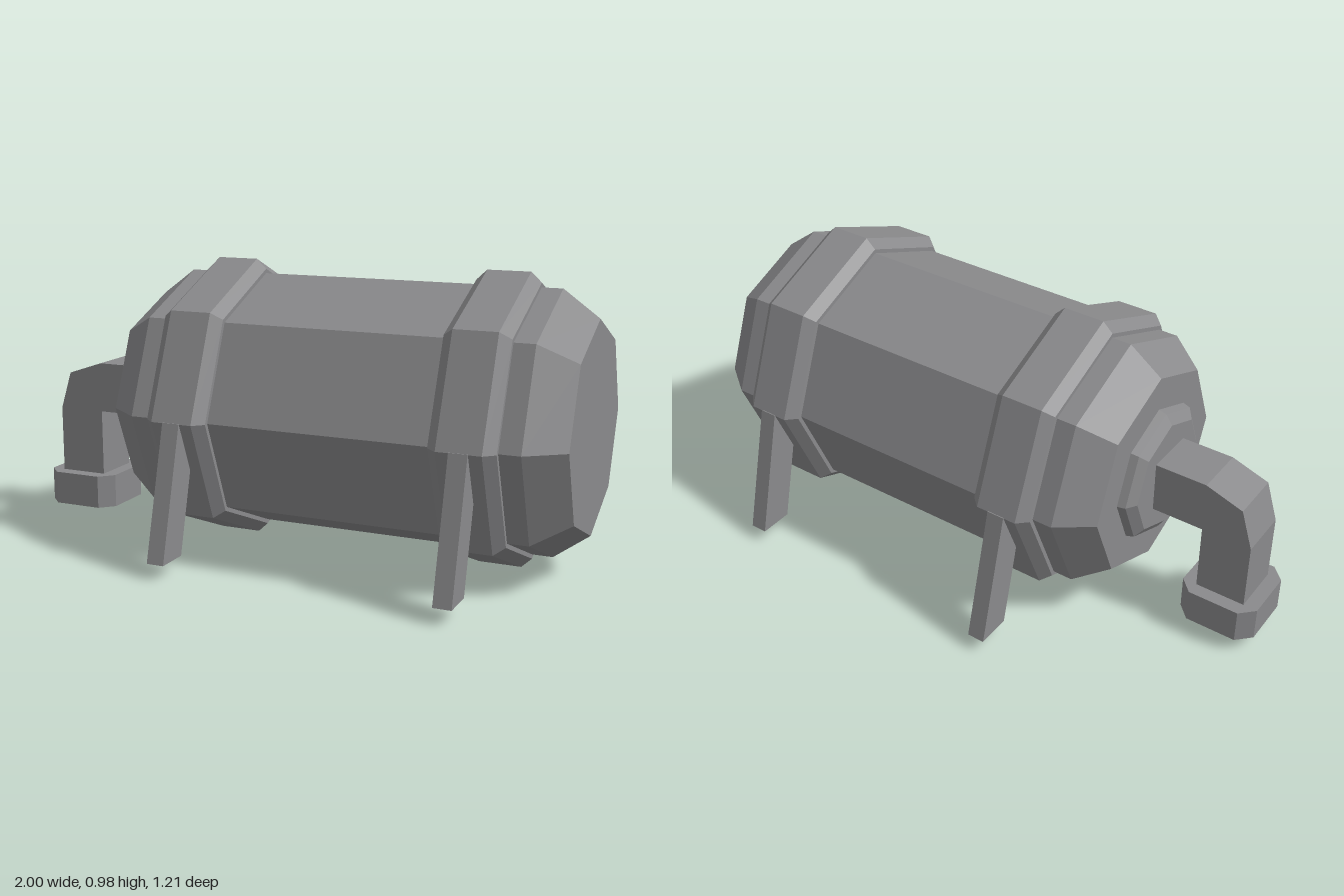
import * as THREE from 'three';

const AXIS_Y = 0.488;

export function createModel() {
  const group = new THREE.Group();
  // Dark steel grey
  const material = new THREE.MeshStandardMaterial({ color: 0x8a8a8c, flatShading: true });

  function add(name, geometry) {
    const mesh = new THREE.Mesh(geometry, material);
    mesh.name = name;
    group.add(mesh);
    return mesh;
  }

  // Eight-sided solid of revolution lying along x; profile is [x, radius] from -x to +x
  function octagonal(name, profile) {
    const points = profile.map(([x, r]) => new THREE.Vector2(r, x));
    const mesh = add(name, new THREE.LatheGeometry(points, 8));
    mesh.rotation.z = -Math.PI / 2;
    mesh.position.y = AXIS_Y;
    return mesh;
  }

  // Outline extruded symmetrically about its own plane
  function slab(name, outline, depth) {
    const shape = new THREE.Shape(outline.map(([x, y]) => new THREE.Vector2(x, y)));
    const geometry = new THREE.ExtrudeGeometry(shape, { depth, bevelEnabled: false });
    geometry.translate(0, 0, -depth / 2);
    return add(name, geometry);
  }

  // Tank body with chamfered ends
  octagonal('tank', [[-0.55, 0], [-0.55, 0.355], [-0.435, 0.44], [0.88, 0.44], [1, 0.352], [1, 0]]);

  // Raised bands, each with a pair of splayed legs
  for (const x of [-0.26, 0.704]) {
    octagonal('band', [
      [x - 0.107, 0.42], [x - 0.107, 0.455], [x - 0.072, 0.488],
      [x + 0.072, 0.488], [x + 0.107, 0.455], [x + 0.107, 0.42],
    ]);
    for (const side of [-1, 1]) {
      const leg = slab('leg', [[0.49, 0.05], [0.607, 0.05], [0.49, 0.49], [0.375, 0.49]], 0.06);
      leg.rotation.y = -side * Math.PI / 2;
      leg.position.x = x;
    }
  }

  // Outlet flange on the tank end
  octagonal('outletFlange', [[-0.6, 0], [-0.6, 0.195], [-0.577, 0.23], [-0.54, 0.24]]);

  // Square outlet pipe with a bent elbow
  slab('outletPipe', [
    [-0.58, 0.403], [-0.58, 0.581], [-0.78, 0.581], [-0.91, 0.537],
    [-0.952, 0.403], [-0.952, 0.1], [-0.78, 0.1], [-0.78, 0.403],
  ], 0.176);

  // Collar at the foot of the pipe, a square with cut corners
  const h = 0.135, c = 0.088;
  const collar = slab('pipeCollar', [[h, -c], [h, c], [c, h], [-c, h], [-h, c], [-h, -c], [-c, -h], [c, -h]], 0.118);
  collar.rotation.x = -Math.PI / 2;
  collar.position.set(-0.866, 0.109, 0);

  return group;
}
